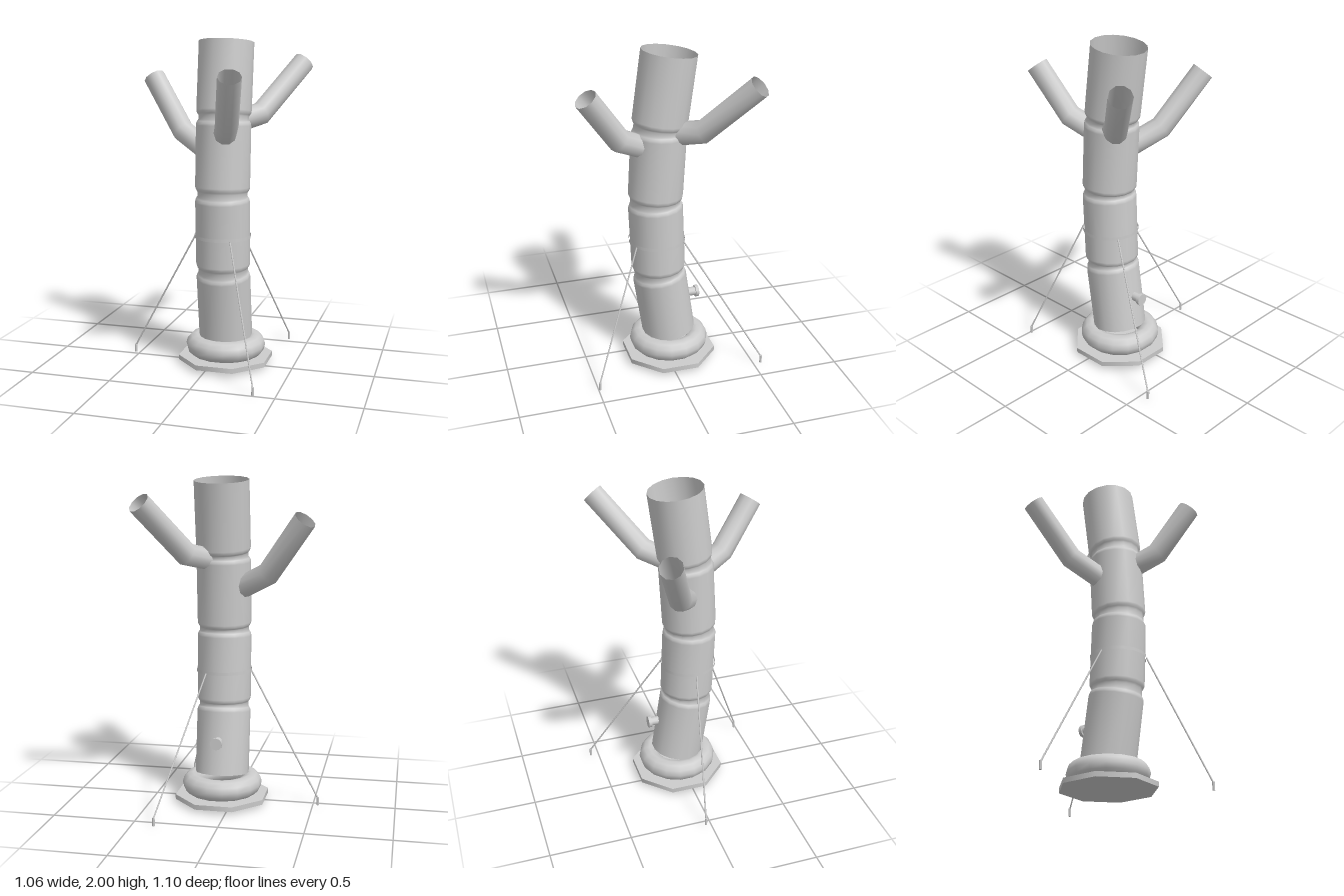
import * as THREE from 'three';

const V = (x, y, z) => new THREE.Vector3(x, y, z);
const CX = 0.07, CZ = -0.03; // axis of the base

// Open tube along a planar path with mitred bends; b is the normal of the path's plane
function sweep(points, radii, b, sides) {
  const pos = [], index = [];
  const dirs = points.slice(1).map((p, i) => p.clone().sub(points[i]).normalize());
  points.forEach((p, i) => {
    const d0 = dirs[Math.max(0, i - 1)], d1 = dirs[Math.min(dirs.length - 1, i)];
    const t = d0.clone().add(d1).normalize();
    const n = b.clone().cross(t).divideScalar(t.dot(d0));
    for (let j = 0; j < sides; j++) {
      const a = (j + 0.5) / sides * Math.PI * 2;
      const q = p.clone().addScaledVector(n, radii[i] * Math.cos(a)).addScaledVector(b, radii[i] * Math.sin(a));
      pos.push(q.x, q.y, q.z);
      if (i < points.length - 1) {
        const k = i * sides + j, l = i * sides + (j + 1) % sides;
        index.push(k, l, l + sides, k, l + sides, k + sides);
      }
    }
  });
  const g = new THREE.BufferGeometry();
  g.setAttribute('position', new THREE.Float32BufferAttribute(pos, 3));
  g.setIndex(index);
  g.computeVertexNormals();
  return g;
}

export function createModel() {
  const group = new THREE.Group();
  const mat = new THREE.MeshStandardMaterial({ color: 0xcccccc });
  const thin = new THREE.MeshStandardMaterial({ color: 0xcccccc, side: THREE.DoubleSide });
  const add = (name, geo, m = mat) => {
    const mesh = new THREE.Mesh(geo, m);
    mesh.name = name;
    group.add(mesh);
    return mesh;
  };
  const rod = (name, a, b, r, sides) => {
    const d = b.clone().sub(a);
    const m = add(name, new THREE.CylinderGeometry(r, r, d.length(), sides));
    m.position.copy(a).add(b).multiplyScalar(0.5);
    m.quaternion.setFromUnitVectors(V(0, 1, 0), d.normalize());
  };

  // Octagonal ground plate and inflated base ring
  const plate = add('basePlate', new THREE.CylinderGeometry(0.295, 0.295, 0.03, 8).rotateY(Math.PI / 8).toNonIndexed());
  plate.position.set(CX, 0.035, CZ);
  const ring = add('baseRing', new THREE.TorusGeometry(0.182, 0.065, 12, 16).rotateX(Math.PI / 2).rotateY(Math.PI / 16));
  ring.position.set(CX, 0.115, CZ);

  // Trunk: four bent sections, pinched at the seams, open at the top
  const joints = [V(CX, 0.18, -0.03), V(CX, 0.605, 0.035), V(CX, 1.075, 0.055), V(CX, 1.53, 0.03), V(CX, 1.975, -0.03)];
  const R = 0.165, pinch = [[0.012, 0.151], [0.02, 0.157], [0.032, 0.163], [0.045, R]];
  const path = [], radii = [];
  joints.slice(1).forEach((end, i) => {
    const start = joints[i], d = end.clone().sub(start).normalize();
    const put = (p, s, r) => { path.push(p.clone().addScaledVector(d, s)); radii.push(r); };
    if (i === 0) put(start, 0, R);
    else pinch.forEach(([s, r]) => put(start, s, r));
    if (i === 3) put(end, 0, R);
    else pinch.slice().reverse().forEach(([s, r]) => put(end, -s, r));
  });
  add('trunk', sweep(path, radii, V(1, 0, 0), 16), thin);

  // Arms: [angle in plan, trunk z, start y, elbow reach, elbow y, tip reach, tip y]
  const arms = [
    ['rightArm', -152, 0.06, 1.31, 0.33, 1.43, 0.59, 1.755],
    ['leftArm', -49, 0.03, 1.50, 0.275, 1.545, 0.60, 1.85],
    ['frontArm', 71, 0.03, 1.42, 0.275, 1.507, 0.487, 1.79],
  ];
  for (const [name, deg, z, y0, r1, y1, r2, y2] of arms) {
    const a = deg * Math.PI / 180, h = V(Math.cos(a), 0, Math.sin(a));
    const at = (r, y) => V(CX, y, z).addScaledVector(h, r);
    const pts = [at(0.08, y0), at(r1, y1), at(r2, y2)];
    add(name, sweep(pts, [0.068, 0.068, 0.068], h.clone().cross(V(0, 1, 0)), 10), thin);
  }

  // Tether band, ropes and stakes
  const band = add('tetherBand', new THREE.CylinderGeometry(0.172, 0.172, 0.02, 16, 1, true), thin);
  band.position.set(CX, 0.82, 0.046);
  for (const deg of [60, 180, 300]) {
    const a = deg * Math.PI / 180, c = Math.cos(a), s = Math.sin(a);
    const x = CX + 0.6 * c, z = CZ + 0.6 * s;
    rod('rope', V(CX + 0.17 * c, 0.815, 0.048 + 0.17 * s), V(x, 0.045, z), 0.005, 6);
    rod('stake', V(x, 0, z), V(x, 0.05, z), 0.008, 8);
  }

  // Air valve on the back
  rod('valveStem', V(CX, 0.41, -0.12), V(CX, 0.41, -0.205), 0.027, 12);
  rod('valveCap', V(CX, 0.41, -0.203), V(CX, 0.41, -0.223), 0.037, 12);
  return group;
}
